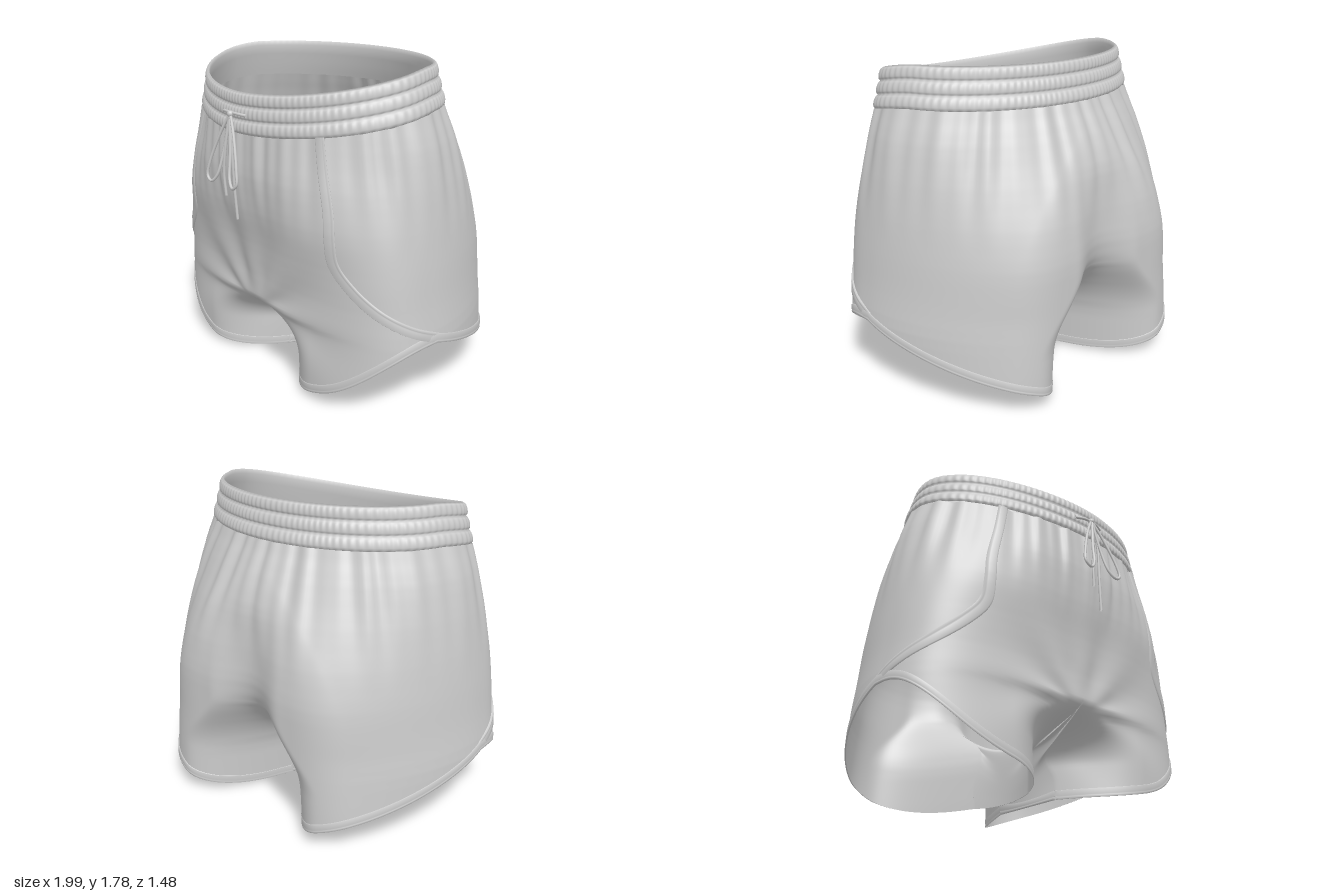
import * as THREE from 'three';
import { mergeGeometries, mergeVertices } from 'three/addons/utils/BufferGeometryUtils.js';

const { smoothstep, lerp } = THREE.MathUtils;
const PI = Math.PI;
const ZC = 0.1; // depth of the body's vertical axis

// Smoothed lookup in a short [height, value] table
function look(table, y) {
  const at = (q) => {
    if (q <= table[0][0]) return table[0][1];
    for (let i = 1; i < table.length; i++) {
      const [y0, v0] = table[i - 1], [y1, v1] = table[i];
      if (q <= y1) return lerp(v0, v1, (q - y0) / (y1 - y0));
    }
    return table[table.length - 1][1];
  };
  return (at(y - 0.06) + 2 * at(y) + at(y + 0.06)) / 4;
}

const WIDTH = [[0, 0.985], [0.42, 0.99], [0.6, 0.965], [0.8, 0.945], [1, 0.92], [1.2, 0.89], [1.4, 0.85], [1.57, 0.79], [1.8, 0.725]];
const FRONT = [[0, 0.535], [0.4, 0.54], [0.6, 0.545], [0.8, 0.57], [1, 0.615], [1.2, 0.638], [1.42, 0.63], [1.65, 0.605]];
const BACK = [[0, 0.74], [0.8, 0.742], [1, 0.715], [1.2, 0.665], [1.4, 0.59], [1.57, 0.5], [1.78, 0.45]];
const CLEFT = [[0, 0.8], [0.3, 0.7], [0.5, 0.3], [0.65, 0.12], [0.8, 0.075], [1, 0.05], [1.25, 0]];

// Plan outline: angle a runs from front centre (0) past the side to back centre (PI);
// the seat is a deeper curve cut off flat at the back
function plan(a, y) {
  const s = Math.abs(Math.sin(a)), c = Math.cos(a);
  const w = look(WIDTH, y), back = look(BACK, y);
  const low = 1 - smoothstep(y, 0.6, 1.45);
  const h = c > 0 ? look(FRONT, y) - ZC : (back + ZC) * (1 + 0.23 * low);
  const n = c > 0 ? 1.85 + 1.2 * low : 2 - 0.2 * low;
  const r = Math.pow(Math.pow(s / w, n) + Math.pow(Math.abs(c) / h, n), -1 / n);
  let z = ZC + r * c;
  if (c < 0) {
    const k = 0.001 + 0.1 * low, e = Math.max(k - Math.abs(z + back), 0) / k;
    z = Math.max(z, -back) + e * e * k / 4;
  }
  return { x: r * s, z, w };
}

// Heights of the waist seam, the hem and the point where the legs part
function waistY(a) {
  const q = Math.min(1, Math.max(0, (0.63 - plan(a, 1.5).z) / 0.7));
  return 1.42 + 0.145 * (1 - Math.pow(1 - q, 1.5));
}
function hemY(a) {
  const p = plan(a, 0.2), r = p.x / p.w;
  if (Math.cos(a) > 0) return 0.012 + 0.398 * Math.pow(r, 2.7);
  return 0.14 + 0.27 * (p.z + 0.74) / 0.84 - 0.125 * (1 - smoothstep(r, 0.05, 0.65));
}
const splitY = (a) => lerp(0.46, 0.58, (1 - Math.cos(a)) / 2);

// Gathers below the waist and curved drapes running down to the crotch
function folds(a, x, y) {
  const gather = Math.sin(a * 23 + 2 * Math.sin(a * 5)) * 0.6 + Math.cos(a * 41) * 0.4;
  let d = 0.013 * gather * smoothstep(y, 0.85, 1.4);
  if (Math.cos(a) > 0) {
    const dy = y - 0.43, dist = Math.hypot(x, dy);
    const q = Math.atan2(x, 0.8 * Math.sign(dy) * Math.pow(Math.abs(dy), 0.7));
    d += 0.008 * Math.cos(q * 9) * smoothstep(dist, 0.05, 0.25) * (1 - smoothstep(dist, 0.45, 0.95));
  }
  return d;
}

// Point on the outer cloth, lifted by off; it is pulled in towards the crotch and seat cleft
function cloth(a, y, off = 0) {
  const p = plan(a, y);
  const inner = 0.1 * (1 - smoothstep(y, 0.1, splitY(a)));
  const x = inner + p.x * (1 - inner / p.w);
  const front = Math.cos(a) > 0;
  const high = front ? 0 : smoothstep(y, 0.3, 0.7);
  const drop = front ? 0.52 * (1 - smoothstep(y, 0.2, 0.47)) : look(CLEFT, y);
  const span = front ? 0.47 : lerp(0.5, 0.25, high);
  const pull = drop * Math.pow(1 - Math.pow(Math.min(1, x / span), 1 + high), 2);
  const d = folds(a, x, y) + off;
  return [x + d * Math.sin(a), y, p.z + (front ? -pull : pull) + d * Math.cos(a)];
}

// Sheet from fn(u, v); side = -1 mirrors it
function sheet(nu, nv, fn, side = 1) {
  const pos = [], idx = [];
  for (let j = 0; j <= nv; j++) for (let i = 0; i <= nu; i++) {
    const p = fn(i / nu, j / nv);
    pos.push(p[0] * side, p[1], p[2]);
  }
  for (let j = 0; j < nv; j++) for (let i = 0; i < nu; i++) {
    const a = j * (nu + 1) + i, b = a + 1, c = a + nu + 1, d = c + 1;
    if (side > 0) idx.push(a, c, b, b, c, d);
    else idx.push(a, b, c, b, d, c);
  }
  const g = new THREE.BufferGeometry();
  g.setAttribute('position', new THREE.Float32BufferAttribute(pos, 3));
  g.setIndex(idx);
  return g;
}
function weld(parts) {
  const g = mergeVertices(mergeGeometries(parts), 1e-4);
  g.computeVertexNormals();
  return g;
}

// Outer shell: waist to leg split, then split to hem
const CUT = 0.7;
function shell(u, v) {
  const a = u * PI, ys = splitY(a);
  const y = v < CUT ? lerp(waistY(a), ys, v / CUT) : lerp(ys, hemY(a), (v - CUT) / (1 - CUT));
  return cloth(a, y);
}
// Inner thigh: from the crotch seam down to the hem, back to front
function thigh(s, v) {
  const row = CUT + v * (1 - CUT);
  const B = shell(1, row), F = shell(0, row), k = 4 * s * (1 - s);
  const mid = 0.068 * Math.pow(v, 0.2);
  return [
    lerp(lerp(B[0], F[0], s), mid, k),
    lerp(B[1], F[1], s) - k * lerp(0.19, 0.012, v),
    lerp(B[2], F[2], s),
  ];
}

// Elastic waistband: lining, rim, then three ribbed tiers
function band(u, v) {
  const a = u * 2 * PI, H = 0.215;
  const outside = v > 0.25;
  const h = outside ? H * (1 - (v - 0.25) / 0.75) : H * (v / 0.25);
  const tier = Math.pow(Math.abs(Math.sin(PI * h / (H / 3))), 0.45);
  const rib = 0.0025 * Math.sin(a * 110 + 2 * Math.sin(a * 7));
  const d = outside ? 0.004 + (0.014 + rib) * tier : -0.012 * Math.min(1, (H - h) * 20);
  const y = waistY(a) + h;
  const p = plan(a, y);
  return [Math.sign(Math.sin(a)) * p.x + d * Math.sin(a), y, p.z + d * Math.cos(a)];
}

// Raised cross-section shared by the trims: [position across, lift]
const RIDGE = [[0, 0], [0.04, 0.01], [0.62, 0.01], [0.68, 0.005], [0.74, 0.01], [0.96, 0.01], [1, 0]];
const ridge = (v) => RIDGE[Math.round(v * (RIDGE.length - 1))];

const trimPath = new THREE.CatmullRomCurve3([
  [0.92, 1.47], [0.94, 1.3], [0.97, 1.1], [0.975, 0.97], [1.0, 0.84], [1.09, 0.73], [1.23, 0.61], [1.39, 0.515], [1.57, 0.435],
].map(([a, y]) => new THREE.Vector3(a * 0.75, y, 0)));
function sideTrim(u, v) {
  const p = trimPath.getPoint(u), t = trimPath.getTangent(u);
  const [across, lift] = ridge(v), k = (across - 0.5) * 0.052;
  return cloth((p.x - t.y * k) / 0.75, p.y + t.x * k, lift * Math.min(1, 0.5 + (1 - u) * 6));
}
function hemTrim(u, v) {
  const a = u * PI, [across, lift] = ridge(1 - v);
  return cloth(a, hemY(a) + 0.05 * (1 - across), lift * 0.7);
}
function thighTrim(u, v) {
  const [across, lift] = ridge(1 - v), p = thigh(u, 1 - 0.12 * (1 - across));
  return [p[0] - lift * 0.7, p[1], p[2]];
}

function cord(points, radius = 0.008) {
  const path = new THREE.CatmullRomCurve3(points.map((p) => new THREE.Vector3(...p)));
  return new THREE.TubeGeometry(path, 48, radius, 8);
}

export function createModel() {
  const group = new THREE.Group();
  const fabric = new THREE.MeshStandardMaterial({ color: 0xcccccc, side: THREE.DoubleSide });
  fabric.name = 'light grey fabric';
  const add = (name, geometry) => {
    const mesh = new THREE.Mesh(geometry, fabric);
    mesh.name = name;
    group.add(mesh);
  };

  // Body and both legs in one welded cloth
  add('shortsBody', weld([1, -1].flatMap((side) => [
    sheet(140, 80, shell, side), sheet(40, 24, thigh, side),
  ])));
  add('waistband', weld([sheet(660, 32, band)]));

  // Trims on each leg
  for (const [label, side] of [['left', 1], ['right', -1]]) {
    add(label + 'SideTrim', weld([sheet(80, 6, sideTrim, side)]));
    add(label + 'HemTrim', weld([sheet(140, 6, hemTrim, side)]));
    add(label + 'ThighHemTrim', weld([sheet(40, 6, thighTrim, side)]));
  }

  // Drawstring bow
  for (const [label, s] of [['left', 1], ['right', -1]]) {
    add(label + 'BowLoop', cord([
      [0, 1.53, 0.66], [s * 0.06, 1.42, 0.685], [s * 0.125, 1.25, 0.72], [s * 0.135, 1.18, 0.73],
      [s * 0.1, 1.155, 0.732], [s * 0.06, 1.19, 0.72], [s * 0.03, 1.33, 0.69], [0, 1.52, 0.665],
    ]));
  }
  add('leftCordEnd', cord([[0, 1.52, 0.665], [0.025, 1.35, 0.675], [0.03, 1.15, 0.672], [0.04, 0.96, 0.665]]));
  add('rightCordEnd', cord([[0, 1.52, 0.665], [-0.02, 1.35, 0.685], [-0.035, 1.2, 0.69], [-0.03, 1.08, 0.685]]));
  add('cordAcross', cord([[-0.1, 1.525, 0.632], [-0.04, 1.53, 0.65], [0.04, 1.53, 0.65], [0.1, 1.525, 0.632]]));
  const knot = new THREE.SphereGeometry(0.018, 16, 12);
  knot.translate(0, 1.525, 0.66);
  add('knot', knot);
  return group;
}
